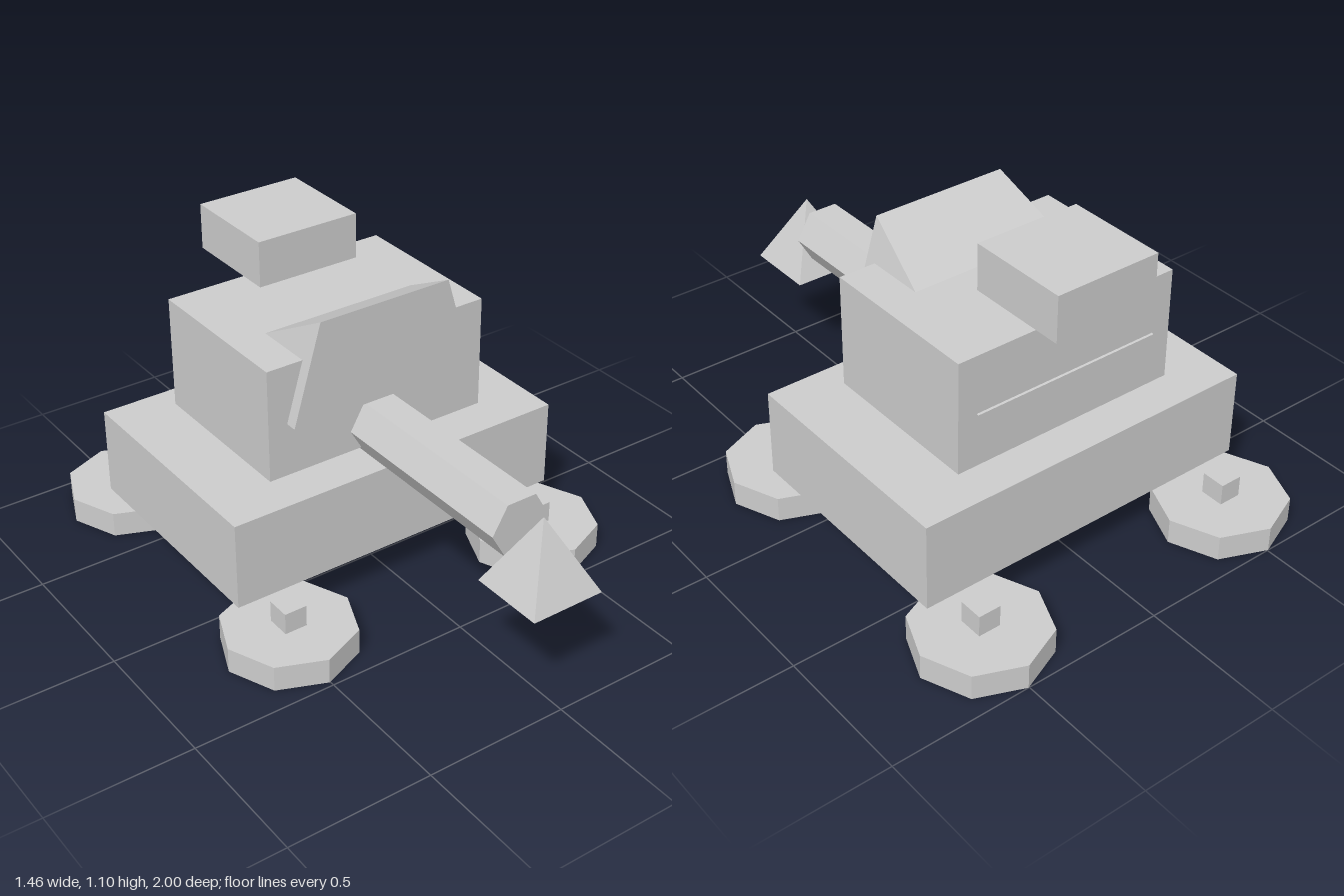
import * as THREE from 'three';

export function createModel() {
  const model = new THREE.Group();
  model.name = 'rover';
  const grey = new THREE.MeshStandardMaterial({ color: 0xcccccc, flatShading: true });
  grey.name = 'light grey';

  const add = (name, geometry, x, y, z) => {
    const mesh = new THREE.Mesh(geometry, grey);
    mesh.name = name;
    mesh.position.set(x, y, z);
    model.add(mesh);
    return mesh;
  };
  // Box given by its width, bottom and top, back and front
  const addBox = (name, width, y0, y1, z0, z1) =>
    add(name, new THREE.BoxGeometry(width, y1 - y0, z1 - z0), 0, (y0 + y1) / 2, (z0 + z1) / 2);

  // Stacked boxes
  addBox('chassis', 1.264, 0.15, 0.46, -0.677, 0.164);
  addBox('cabin', 0.842, 0.48, 0.88, -0.556, 0.04);
  addBox('roofBox', 0.382, 0.94, 1.102, -0.716, -0.352);

  // Sloping wedge: a triangular prism whose sides lean in towards the top
  const bottom = 0.67, top = 1.018, halfBottom = 0.351, halfTop = 0.247;
  const profile = new THREE.Shape([
    new THREE.Vector2(0.082, bottom),
    new THREE.Vector2(0.082, top),
    new THREE.Vector2(-0.562, bottom),
  ]);
  const wedge = new THREE.ExtrudeGeometry(profile, { depth: 2 * halfBottom, bevelEnabled: false });
  wedge.translate(0, 0, -halfBottom);
  wedge.rotateY(-Math.PI / 2);
  const p = wedge.attributes.position;
  for (let i = 0; i < p.count; i++) {
    const t = (p.getY(i) - bottom) / (top - bottom);
    p.setX(i, Math.sign(p.getX(i)) * THREE.MathUtils.lerp(halfBottom, halfTop, t));
  }
  wedge.computeVertexNormals();
  add('frontWedge', wedge, 0, 0, 0);

  // Hexagonal arm pointing forwards, flat side up
  const arm = new THREE.CylinderGeometry(0.108, 0.108, 0.77, 6);
  arm.rotateY(Math.PI / 6);
  arm.rotateX(Math.PI / 2);
  const armMesh = add('arm', arm, 0, 0.553, 0.385);
  // Turn so that two corners lie left and right
  arm.computeBoundingBox();
  if (arm.boundingBox.max.x < 0.1) armMesh.rotation.z = Math.PI / 6;

  // Square pyramid at the tip of the arm
  const tip = new THREE.ConeGeometry(0.131 * Math.SQRT2, 0.25, 4);
  tip.rotateY(Math.PI / 4);
  add('armTip', tip, 0, 0.515, 0.87);

  // Four octagonal feet with short pegs
  for (const [sideName, x] of [['left', 0.503], ['right', -0.503]]) {
    for (const [endName, z] of [['Front', 0.255], ['Back', -0.772]]) {
      add(sideName + endName + 'Foot', new THREE.CylinderGeometry(0.228, 0.228, 0.09, 8), x, 0.045, z);
      add(sideName + endName + 'Peg', new THREE.BoxGeometry(0.08, 0.08, 0.086), x, 0.126, z);
    }
  }
  return model;
}
